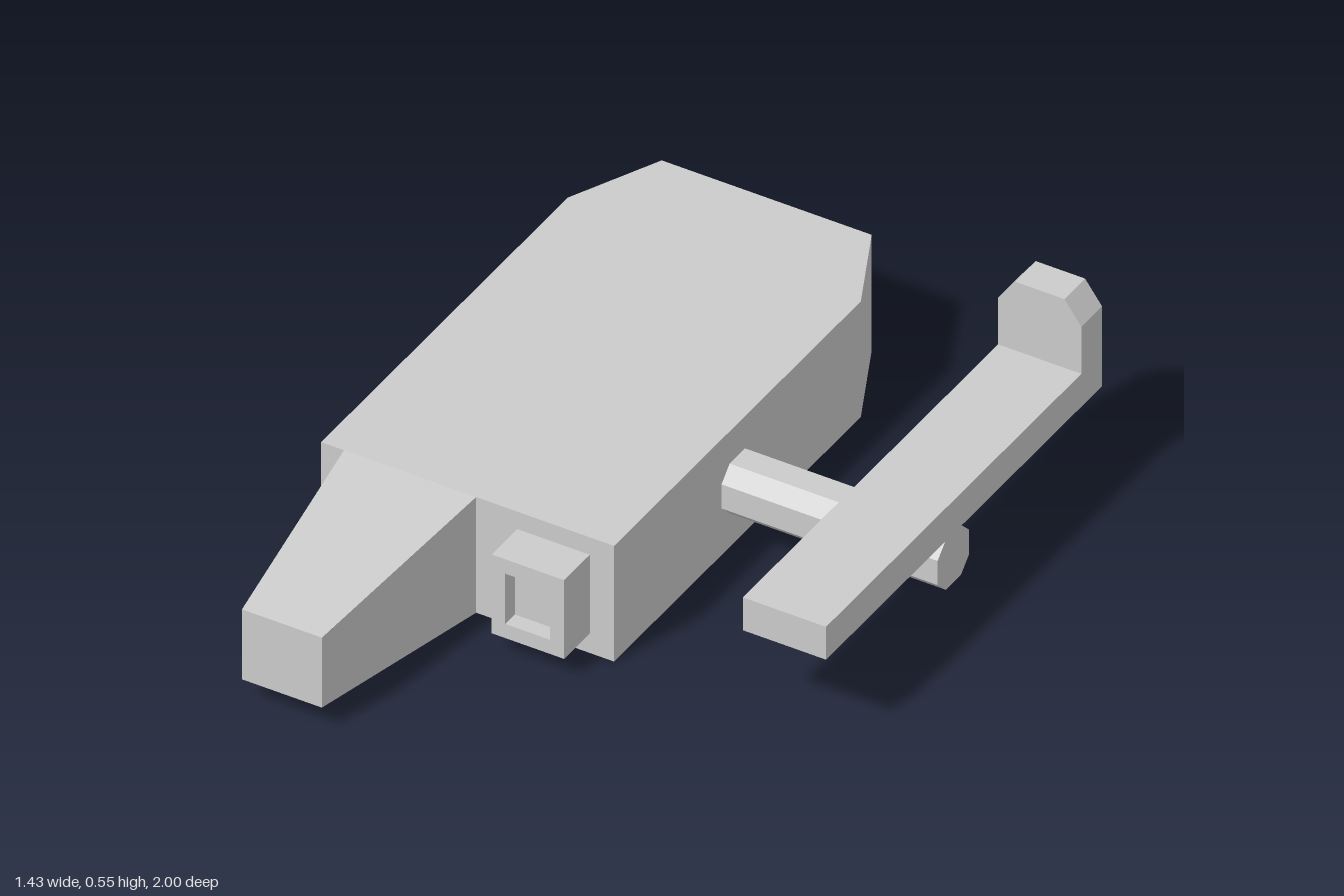
import * as THREE from 'three';

const material = new THREE.MeshStandardMaterial({ color: 0xcccccc, flatShading: true });

const toShape = (points) => new THREE.Shape(points.map(([x, y]) => new THREE.Vector2(x, y)));
const extrude = (shape, depth) => new THREE.ExtrudeGeometry(shape, { depth, bevelEnabled: false });
const rectangle = (x0, x1, y0, y1) => [[x0, y0], [x1, y0], [x1, y1], [x0, y1]];

export function createModel() {
  const model = new THREE.Group();
  const add = (name, geometry) => {
    const mesh = new THREE.Mesh(geometry, material);
    mesh.name = name;
    model.add(mesh);
    return mesh;
  };

  // Main hull: plan outline (x, -z) with chamfered rear corners, raised upwards
  const hull = toShape([
    [-0.714, -0.4], [0.106, -0.4], [0.106, 0.755], [-0.01, 1], [-0.598, 1], [-0.714, 0.755],
  ]);
  add('hull', extrude(hull, 0.345).rotateX(-Math.PI / 2));

  // Nose: box whose front face is shrunk into a taper
  const nose = new THREE.BoxGeometry(0.37, 0.345, 0.6);
  const p = nose.attributes.position;
  for (let i = 0; i < p.count; i++) {
    if (p.getZ(i) > 0) p.setXY(i, p.getX(i) * 0.605, p.getY(i) * 0.605);
  }
  nose.computeVertexNormals();
  add('nose', nose).position.set(-0.465, 0.1725, 0.7);

  // Front port: square frame with a recessed panel
  const frame = toShape(rectangle(-0.165, 0.038, 0.058, 0.293));
  frame.holes.push(new THREE.Path(toShape(rectangle(-0.127, -0.001, 0.1, 0.25)).getPoints()));
  add('portFrame', extrude(frame, 0.12)).position.z = 0.4;
  add('portPanel', new THREE.BoxGeometry(0.126, 0.15, 0.075)).position.set(-0.064, 0.175, 0.4375);

  // Strut: octagonal rod reaching from the hull to the outer edge of the side rail
  const r = 0.074, c = 0.036;
  const octagon = toShape([
    [r, -c], [r, c], [c, r], [-c, r], [-r, c], [-r, -c], [-c, -r], [c, -r],
  ]);
  add('strut', extrude(octagon, 0.605).rotateY(Math.PI / 2)).position.set(0.106, 0.175, -0.177);

  // Side rail and its chamfered upright fin at the rear
  add('sideRail', new THREE.BoxGeometry(0.233, 0.098, 1.195)).position.set(0.595, 0.296, -0.1775);
  const fin = toShape([
    [0.4785, 0.247], [0.7115, 0.247], [0.7115, 0.485], [0.664, 0.55], [0.526, 0.55], [0.4785, 0.485],
  ]);
  add('railFin', extrude(fin, 0.097)).position.z = -0.872;

  return model;
}
